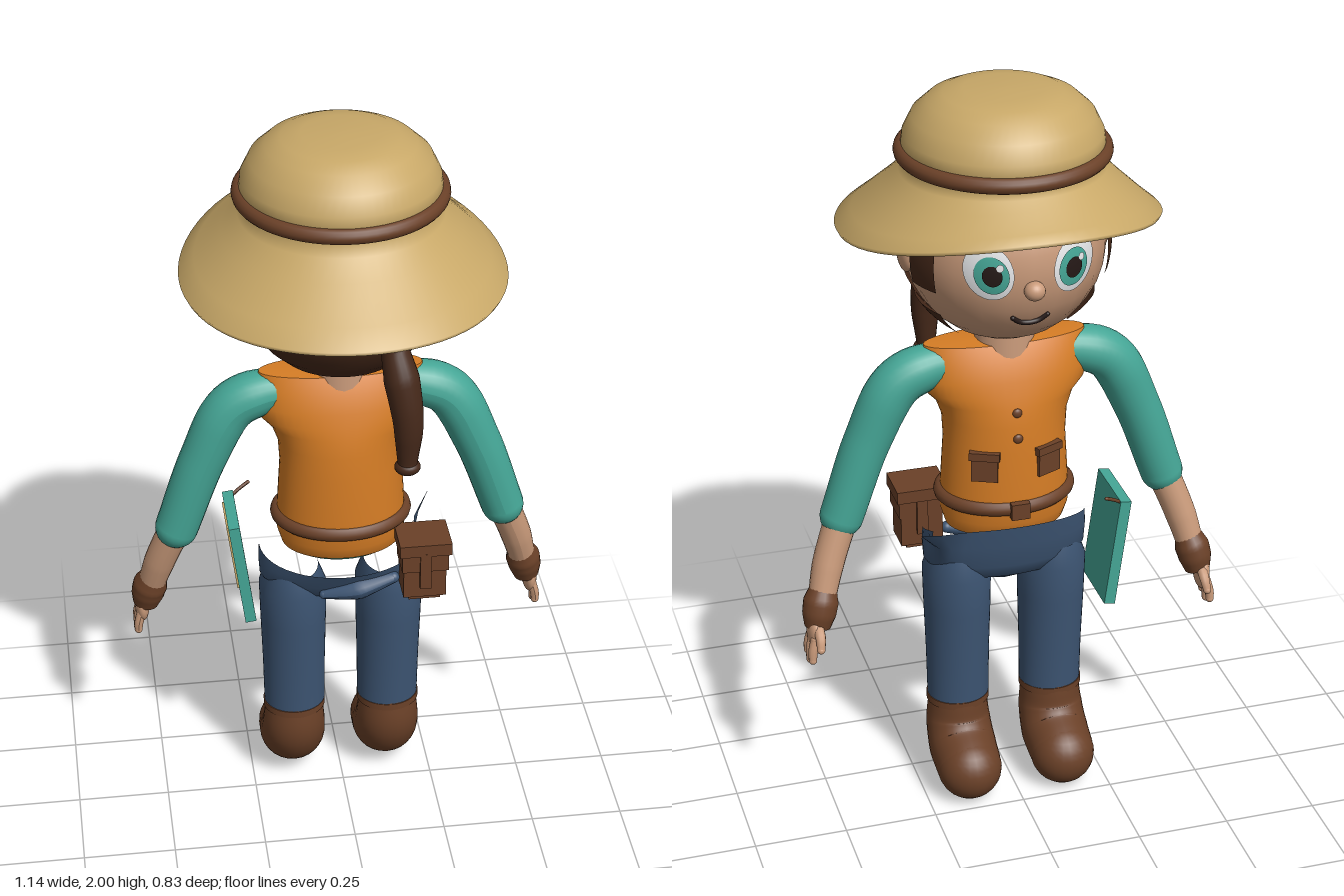
import * as THREE from 'three';

const mat = (name, color, side = THREE.FrontSide) => {
  const m = new THREE.MeshStandardMaterial({ color, side });
  m.name = name;
  return m;
};
const V = (x, y, z) => new THREE.Vector3(x, y, z);

// Grid surface from fn(u, v); closed wraps around u
function surface(fn, nu, nv, closed = false) {
  const pos = [], idx = [], w = closed ? nu : nu + 1;
  for (let j = 0; j <= nv; j++) for (let i = 0; i < w; i++) pos.push(...fn(i / nu, j));
  for (let j = 0; j < nv; j++) for (let i = 0; i < nu; i++) {
    const k = (i + 1) % w, a = j * w + i, b = j * w + k, c = b + w, d = a + w;
    idx.push(a, b, c, a, c, d);
  }
  const g = new THREE.BufferGeometry();
  g.setAttribute('position', new THREE.Float32BufferAttribute(pos, 3));
  g.setIndex(idx);
  g.computeVertexNormals();
  return g;
}

// Elliptic rings [y, rx, rz, cz], bottom to top; repeated rings make sharp edges
const rings = (list, shape = (p) => p) => surface((u, j) => {
  const a = u * Math.PI * 2, [y, rx, rz, cz] = list[j];
  return shape([Math.sin(a) * rx, y, cz + Math.cos(a) * rz], a, j);
}, 48, list.length - 1, true);

// Tube with varying radius
function limbGeo(points, radii, n = 24, sides = 20) {
  const path = new THREE.CatmullRomCurve3(points);
  const g = new THREE.TubeGeometry(path, n, 1, sides);
  const p = g.attributes.position, v = new THREE.Vector3();
  for (let i = 0; i <= n; i++) {
    const c = path.getPointAt(i / n), f = (i / n) * (radii.length - 1);
    const k = Math.min(Math.floor(f), radii.length - 2);
    const r = THREE.MathUtils.lerp(radii[k], radii[k + 1], f - k);
    for (let s = 0; s <= sides; s++) {
      const q = i * (sides + 1) + s;
      v.fromBufferAttribute(p, q).sub(c).multiplyScalar(r).add(c);
      p.setXYZ(q, v.x, v.y, v.z);
    }
  }
  g.computeVertexNormals();
  return g;
}

export function createModel() {
  const root = new THREE.Group();
  const straw = mat('straw', 0xc8a868, THREE.DoubleSide);
  const leather = mat('leather', 0x6b4128);
  const hairMat = mat('hairBrown', 0x46291a, THREE.DoubleSide);
  const skin = mat('skin', 0xc99a7a);
  const orange = mat('orangeCloth', 0xd67d25);
  const teal = mat('tealCloth', 0x45a696);
  const denim = mat('denim', 0x3d5573);
  const white = mat('eyeWhite', 0xe8eaec);
  const dark = mat('dark', 0x241816);

  const add = (name, geo, m, p = [0, 0, 0], r = [0, 0, 0], s = [1, 1, 1]) => {
    const o = new THREE.Mesh(geo, m);
    o.name = name;
    o.position.set(...p); o.rotation.set(...r); o.scale.set(...s);
    root.add(o);
    return o;
  };
  const ball = (name, m, p, s, r) => add(name, new THREE.SphereGeometry(1, 24, 16), m, p, r, s);
  const box = (name, m, size, p, r) => add(name, new THREE.BoxGeometry(...size), m, p, r);
  // Limb with rounded ends
  const limb = (name, m, pts, radii, n, sides) => {
    add(name, limbGeo(pts, radii, n, sides), m);
    for (const i of [0, pts.length - 1]) {
      const r = i ? radii[radii.length - 1] : radii[0];
      ball(name + 'End', m, pts[i].toArray(), [r, r, r]);
    }
  };

  // Hat: drooping brim raised over the face, round crown, band
  const hat = [[1.625, .41, 0, 1], [1.637, .416, 0, 1], [1.675, .375, -.01, .75], [1.745, .305, -.03, .4],
    [1.79, .262, -.04, .15], [1.82, .242, -.045, 0], [1.86, .256, -.045, 0], [1.89, .252, -.045, 0],
    [1.935, .23, -.045, 0], [1.972, .19, -.045, 0], [1.99, .15, -.045, 0], [1.999, .1, -.045, 0], [2, 0, -.045, 0]];
  add('hat', surface((u, j) => {
    const a = u * Math.PI * 2, [y, r, cz, w] = hat[j];
    const lift = Math.pow((1 - Math.cos(a)) / 2, 2.5) * .1 - .012 * Math.sin(a) ** 2;
    return [Math.sin(a) * r, y + w * lift, cz + Math.cos(a) * r];
  }, 64, hat.length - 1, true), straw);
  add('hatBand', new THREE.TorusGeometry(.254, .021, 14, 64), leather, [0, 1.843, -.045], [Math.PI / 2, 0, 0]);

  // Head, neck, ears and nose
  const C = V(0, 1.605, -.055), R = .26;
  ball('head', skin, C.toArray(), [R, R, R]);
  add('neck', new THREE.CylinderGeometry(.075, .08, .1, 24), skin, [0, 1.345, -.055]);
  ball('nose', skin, [0, 1.57, -.32], [.027, .025, .025]);

  // Hair: patches over the head between two azimuths (degrees from the back) and two heights
  const patch = (name, a0, a1, y0, y1, r = .27) => add(name, surface((u, j) => {
    const a = THREE.MathUtils.degToRad(a0 + (a1 - a0) * u), y = y0 + (y1 - y0) * j / 12;
    const q = Math.sqrt(Math.max(0, r * r - (y - C.y) ** 2));
    return [q * Math.sin(a), y, C.z + q * Math.cos(a)];
  }, 24, 12), hairMat);
  patch('backHair', -77, 77, 1.39, 1.82);
  patch('hairCrown', -124, 124, 1.69, 1.82, .269);
  for (const s of [-1, 1]) {
    patch('jawHair', 77 * s, 120 * s, 1.39, 1.465);
    patch('sideLock', 104 * s, 124 * s, 1.54, 1.7, .272);
    ball('ear', skin, [.255 * s, 1.595, -.045], [.022, .057, .046]);
  }
  limb('ponytail', hairMat, [V(.105, 1.505, .185), V(.12, 1.43, .208), V(.135, 1.32, .225), V(.135, 1.2, .225)],
    [.036, .046, .042, .036, .026]);
  ball('ponytailTip', hairMat, [.135, 1.183, .225], [.034, .022, .03]);

  // Face details laid on the head as thin caps
  const onHead = (x, y, r = R) => V(x, y, C.z - Math.sqrt(r * r - x * x - (y - C.y) ** 2));
  const cap = (name, m, x, y, r, angle, sx) => {
    const o = add(name, new THREE.SphereGeometry(r, 28, 8, 0, Math.PI * 2, 0, angle), m, C.toArray(), [0, 0, 0], [sx, 1, 1]);
    o.quaternion.setFromUnitVectors(V(0, 1, 0), onHead(x, y).sub(C).normalize());
  };
  for (const s of [-1, 1]) {
    cap('eyeWhite', white, .11 * s, 1.62, .268, .28, .84);
    cap('iris', teal, .102 * s, 1.615, .271, .185, .88);
    cap('pupil', dark, .1 * s, 1.615, .274, .1, .92);
    cap('eyeGlint', white, .1 * s - .018, 1.637, .2765, .035, 1);
    const brow = [.05, .1, .15].map((x, i) => onHead(x * s, 1.71 + (i === 1 ? .012 : 0), .262));
    limb('eyebrow', hairMat, brow, [.007, .011, .007], 12, 8);
  }
  limb('mouth', dark, [-.045, -.02, .02, .045].map((x, i) => onHead(x, i % 3 ? 1.468 : 1.485, .261)),
    [.006, .007, .006], 16, 8);

  // Vest and the shirt hem beneath it
  const cz = -.055;
  add('vest', rings([[.8, 0, 0, cz], [.8, .16, .115, cz], [.8, .16, .115, cz], [.84, .172, .135, cz], [.92, .171, .138, cz],
    [1.05, .163, .132, cz], [1.12, .167, .128, cz], [1.17, .185, .12, cz], [1.2, .214, .112, cz], [1.24, .224, .102, cz],
    [1.29, .224, .084, cz], [1.33, .215, .062, cz], [1.33, .215, .062, cz], [1.335, 0, 0, cz]]), orange);
  add('shirtHem', rings([[.775, 0, 0, cz], [.778, .1, .08, cz], [.79, .14, .105, cz], [.82, .15, .11, cz]]), teal);
  for (const y of [1.09, 1.16]) ball('button', leather, [0, y, -.184 + (y - 1.09) * .13], [.013, .013, .008]);
  for (const s of [-1, 1]) {
    box('pocket', leather, [.07, .075, .018], [.085 * s, 1.01, -.168], [0, -.42 * s, 0]);
    box('pocketFlap', leather, [.08, .022, .026], [.085 * s, 1.045, -.168], [0, -.42 * s, 0]);
  }

  // Belt, buckle and pouch
  add('belt', new THREE.TorusGeometry(.17, .02, 12, 56), leather, [0, .89, cz], [Math.PI / 2, 0, 0], [1, .79, 1]);
  box('buckle', leather, [.05, .045, .02], [0, .89, -.206]);
  box('pouch', leather, [.115, .16, .09], [.205, .775, .07]);
  box('pouchLid', leather, [.14, .035, .12], [.205, .85, .07]);
  box('pouchFlap', leather, [.125, .06, .1], [.205, .81, .073]);
  box('pouchStrap', leather, [.03, .11, .115], [.205, .785, .073]);
  box('pouchBase', leather, [.085, .02, .08], [.205, .695, .07]);

  // Trousers: sloping open waist with a pointed corner, then two legs
  add('trouserSeat', rings([[.6, 0, 0, cz], [.64, .1, .06, cz], [.66, .195, .09, cz], [.7, .222, .11, cz], [.75, .225, .125, cz],
    [.79, .222, .135, cz]], ([x, y, z], a, j) => {
    const w = j > 3 ? (j - 3) / 2 : 0, point = w * w * Math.exp(-(((a - 2.25) / .16) ** 2));
    return [x * (1 + .5 * point), y - .04 * w * Math.cos(a) + .03 * point, cz + (z - cz) * (1 + .6 * point)];
  }), denim);
  limb('trouserFold', denim, [V(-.06, .68, .05), V(.02, .695, .06), V(.13, .72, .05)], [.012, .03, .016], 14, 12);
  for (const s of [-1, 1]) {
    add('trouserLeg', rings([[.25, .084, .077, cz], [.4, .086, .084, cz], [.55, .09, .098, cz],
      [.66, .092, .104, cz], [.72, .07, .09, cz]], ([x, y, z], a, j) => [x + s * (.131 + j * .0005), y, z]), denim);
    // Boot
    add('bootTop', new THREE.CylinderGeometry(.086, .086, .02, 32), leather, [.132 * s, .257, cz], [0, 0, 0], [1, 1, .93]);
    limb('boot', leather, [V(.132 * s, .252, cz), V(.133 * s, .18, -.06), V(.133 * s, .12, -.1), V(.133 * s, .088, -.177)],
      [.08, .088, .092, .088], 24, 28);

    // Sleeve, forearm and cuff
    limb('sleeve', teal, [V(.12 * s, 1.272, cz), V(.2 * s, 1.268, cz), V(.285 * s, 1.23, cz), V(.365 * s, 1.08, -.052), V(.442 * s, .865, cz)],
      [.05, .064, .066, .062, .06, .058], 32, 24);
    limb('forearm', skin, [V(.445 * s, .86, -.06), V(.49 * s, .74, -.085), V(.525 * s, .61, -.118)], [.044, .042, .034]);
    add('cuff', limbGeo([V(.508 * s, .68, -.1), V(.522 * s, .63, -.115), V(.532 * s, .58, -.123)], [.036, .047, .045, .035], 12), leather);
    // Hand
    ball('palm', skin, [.542 * s, .57, -.128], [.02, .05, .04]);
    for (let i = 0; i < 3; i++) limb('finger', skin,
      [V(.545 * s, .56, -.107 - i * .024), V(.555 * s, .52, -.105 - i * .028), V(.556 * s, .493 + (i === 1 ? -.004 : .008), -.105 - i * .029)],
      [.013, .013, .011], 8, 10);
    limb('thumb', skin, [V(.535 * s, .595, -.14), V(.535 * s, .57, -.175), V(.538 * s, .545, -.188)], [.015, .014, .011], 8, 10);
  }

  // Clipboard at the right hip, with paper and a pen
  const board = new THREE.Group();
  board.name = 'clipboard';
  board.position.set(-.272, .715, -.11);
  board.rotation.z = .13;
  const plate = (name, m, size, p) => {
    const o = new THREE.Mesh(new THREE.BoxGeometry(...size), m);
    o.name = name; o.position.set(...p);
    board.add(o);
  };
  plate('board', teal, [.03, .31, .19], [0, 0, 0]);
  plate('paper', straw, [.008, .2, .13], [-.016, .035, -.01]);
  root.add(board);
  limb('pen', leather, [V(-.285, .86, -.19), V(-.26, .877, -.2), V(-.235, .89, -.21)], [.005, .005], 4, 8);
  return root;
}
